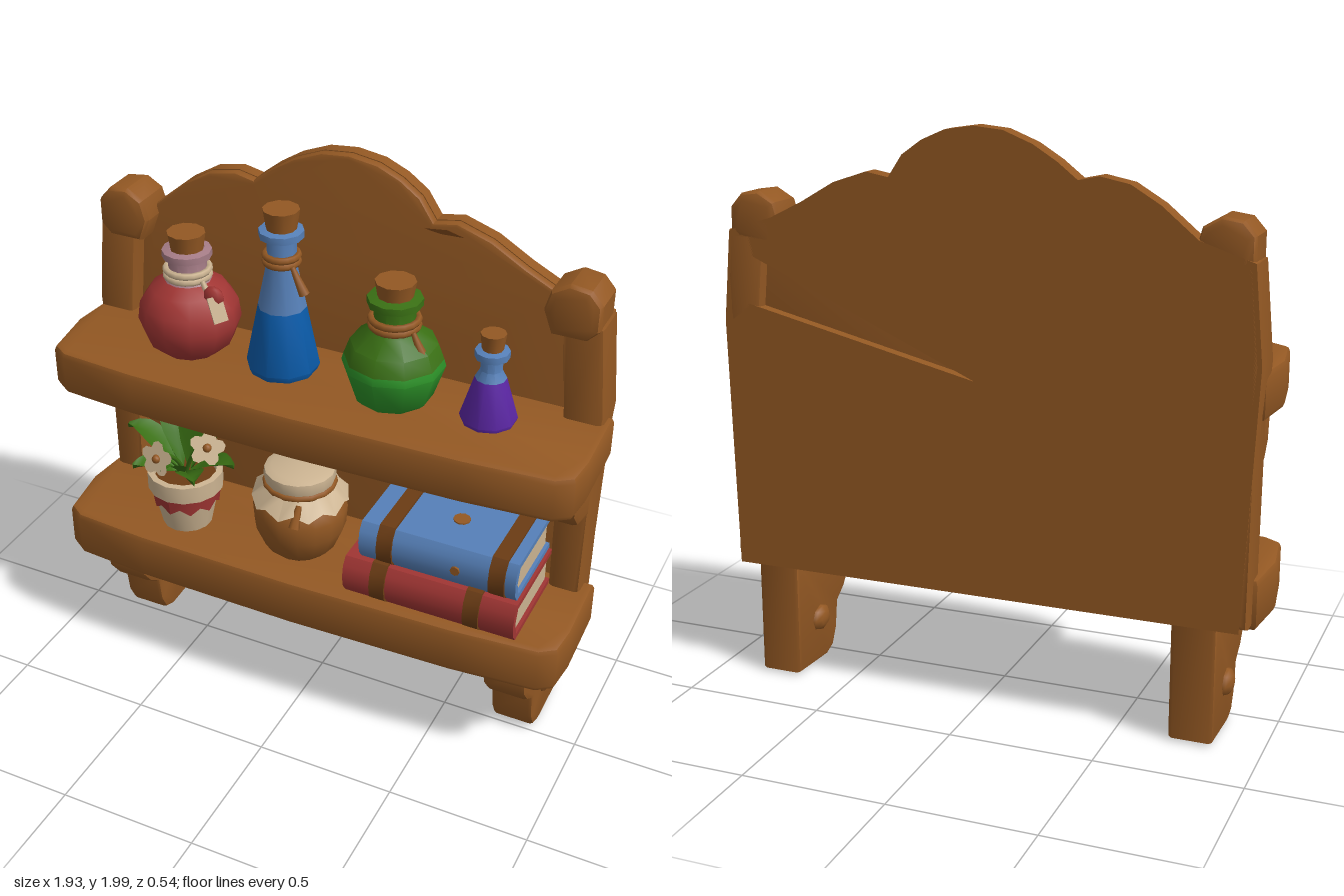
import * as THREE from 'three';
import { toCreasedNormals } from 'three/addons/utils/BufferGeometryUtils.js';

const mat = (name, color) => {
  const m = new THREE.MeshStandardMaterial({ color, side: THREE.DoubleSide });
  m.name = name;
  return m;
};

export function createModel() {
  const wood = mat('wood', 0x935823), strap = mat('dark leather', 0x6b3c14), cream = mat('cream', 0xcbb391);
  const red = mat('red', 0xa03533), blue = mat('deep blue', 0x0b5cab), pale = mat('pale blue', 0x5680b8);
  const green = mat('bright green', 0x2c9128), leafGreen = mat('leaf green', 0x3a7014);
  const purple = mat('purple', 0x5c27a5), mauve = mat('mauve glass', 0xa57c86);
  const root = new THREE.Group();

  const add = (name, geo, m, parent = root, x = 0, y = 0, z = 0) => {
    const mesh = new THREE.Mesh(geo, m);
    mesh.name = name;
    mesh.position.set(x, y, z);
    parent.add(mesh);
    return mesh;
  };
  const group = (name, x, y, z) => {
    const g = new THREE.Group();
    g.name = name;
    g.position.set(x, y, z);
    root.add(g);
    return g;
  };
  const shape = (pts) => new THREE.Shape(pts.map((p) => new THREE.Vector2(...p)));
  // Extrusion from 0 to depth, with the bevel kept inside the outline
  const slab = (s, depth, bevel = 0.02) => {
    const g = new THREE.ExtrudeGeometry(s, {
      depth: depth - 2 * bevel, bevelEnabled: bevel > 0, bevelThickness: bevel,
      bevelSize: bevel, bevelOffset: -bevel, bevelSegments: 2, curveSegments: 8,
    });
    return toCreasedNormals(g.translate(0, 0, bevel), 0.7);
  };
  // Profile in (z, y), extruded across x and centred
  const across = (pts, width, bevel) =>
    slab(shape(pts), width, bevel).rotateY(-Math.PI / 2).translate(width / 2, 0, 0);
  const lathe = (pts, n = 12) =>
    toCreasedNormals(new THREE.LatheGeometry(pts.map((p) => new THREE.Vector2(...p)), n), 0.75);
  // Open band with a zigzag lower edge
  const zigzag = (rTop, rBottom, h, n, depth) => {
    const g = new THREE.CylinderGeometry(rTop, rBottom, h, n, 1, true);
    const p = g.attributes.position;
    for (let i = 0; i <= n; i++) if (i % 2) p.setY(i + n + 1, p.getY(i + n + 1) + depth);
    g.computeVertexNormals();
    return g;
  };
  const ring = (r, t) => new THREE.TorusGeometry(r, t, 6, 16).rotateX(Math.PI / 2);

  // Back panel with a scalloped top, and a wedge-shaped gap in its rear
  const outline = [[-0.91, 0.42], [0.91, 0.42], [0.93, 1.3], [0.9, 1.62], [0.74, 1.67], [0.62, 1.73],
    [0.5, 1.8], [0.38, 1.84], [0.3, 1.825], [0.25, 1.9], [0.18, 1.95], [0.1, 1.985], [0, 2], [-0.1, 1.99],
    [-0.2, 1.95], [-0.28, 1.9], [-0.35, 1.845], [-0.42, 1.86], [-0.52, 1.84], [-0.62, 1.78], [-0.74, 1.68],
    [-0.92, 1.62], [-0.95, 1.3]];
  add('backPanelFront', slab(shape(outline), 0.04, 0.012), wood, root, 0, 0, -0.23);
  const rear = shape(outline);
  rear.holes.push(shape([[0, 1.17], [0.85, 1.55], [0.88, 1.38]]));
  add('backPanelRear', slab(rear, 0.045, 0), wood, root, 0, 0, -0.27);
  add('panelCrack', slab(shape([[0.27, 1.805], [0.33, 1.797], [0.41, 1.8], [0.35, 1.815]]), 0.006, 0),
    strap, root, 0, 0, -0.192);

  // Shelves with worn front corners
  const plank = [[-0.95, -0.2], [0.955, -0.2], [0.965, 0.08], [0.955, 0.19], [0.9, 0.23], [0.6, 0.255],
    [0, 0.27], [-0.6, 0.262], [-0.88, 0.24], [-0.94, 0.2], [-0.97, 0]];
  for (const [name, top, h] of [['upperShelf', 1.272, 0.165], ['lowerShelf', 0.585, 0.18]])
    add(name, slab(shape(plank), h, 0.022).rotateX(Math.PI / 2), wood, root, 0, top, 0);

  // Posts, knobs, brackets, legs and pegs on both sides
  const postPts = [[0.81, 0.43], [0.92, 0.43], [0.925, 1.1], [0.94, 1.3], [0.91, 1.62], [0.77, 1.62], [0.8, 1.3]];
  const knobPts = [[0.74, 1.57], [0.86, 1.57], [0.9, 1.61], [0.9, 1.7], [0.86, 1.745], [0.79, 1.755], [0.73, 1.72], [0.71, 1.65]];
  const bracketPts = [[-0.25, 0.88], [-0.12, 0.9], [-0.03, 0.93], [0.02, 0.99], [0.04, 1.13], [-0.25, 1.13]];
  const legPts = [[-0.27, 0.45], [-0.27, 0.02], [-0.06, 0.01], [-0.01, 0.03], [0.02, 0.09], [0.035, 0.19],
    [0.09, 0.23], [0.135, 0.29], [0.145, 0.36], [0.145, 0.45]];
  for (const s of [-1, 1]) {
    const mirror = (pts) => shape(pts.map(([x, y]) => [s * x - (s < 0 ? 0.015 : 0), y]));
    const side = s > 0 ? 'left' : 'right';
    add(side + 'Post', slab(mirror(postPts), 0.15), wood, root, 0, 0, -0.27);
    add(side + 'PostKnob', slab(mirror(knobPts), 0.17, 0.025), wood, root, 0, 0, -0.27);
    add(side + 'Bracket', across(bracketPts, 0.12, 0.02), wood, root, s * 0.86, 0, 0);
    add(side + 'Leg', across(legPts, 0.155, 0.015), wood, root, s * 0.762, 0, 0);
    for (const e of [-1, 1]) {
      const peg = add(side + 'Peg', new THREE.SphereGeometry(0.06, 8, 6).rotateZ(Math.PI / 2), wood, root, s * 0.762 + e * 0.07, 0.178, -0.11);
      peg.scale.set(0.6, 0.85, 1);
    }
  }

  // Bottles: stacked lathe sections [colour, profile], cord round the neck, cork on top
  const bottle = (name, x, z, sections, neck, cork, cord) => {
    const g = group(name, x, 1.27, z);
    for (const [part, m, pts, n] of sections) add(part, lathe(pts, n), m, g);
    const [r, y0, y1] = cork;
    add('cork', toCreasedNormals(new THREE.CylinderGeometry(r, r * 0.75, y1 - y0, 10), 0.7), wood, g, 0, (y0 + y1) / 2, 0);
    if (neck) {
      for (const dy of [0, 0.022]) add('cord', ring(neck[0], 0.012), cord, g, 0, neck[1] + dy, 0);
      const end = add('cordEnd', new THREE.CylinderGeometry(0.008, 0.018, 0.1, 6), cord, g, neck[0] + 0.025, neck[1] - 0.04, 0.04);
      end.rotation.z = 0.45;
    }
    return g;
  };
  const lip = (r, y, inner) => [[inner, y - 0.02], [r, y - 0.012], [r, y + 0.012], [inner, y + 0.018]];
  const redBottle = bottle('redBottle', -0.505, 0, [
    ['body', red, [[0, 0], [0.1, 0], [0.15, 0.045], [0.177, 0.12], [0.168, 0.185], [0.13, 0.24], [0.08, 0.27]], 12],
    ['neck', mauve, [[0.085, 0.265], [0.065, 0.29], [0.065, 0.35]], 12],
    ['lip', mauve, lip(0.085, 0.365, 0.06), 12]], [0.074, 0.285], [0.066, 0.33, 0.44], cream);
  const tag = add('tag', new THREE.BoxGeometry(0.05, 0.09, 0.01), cream, redBottle, 0.15, 0.215, 0.07);
  tag.rotation.set(-0.5, 0.7, 0.5);
  const seal = add('waxSeal', new THREE.SphereGeometry(0.04, 8, 6), red, redBottle, 0.125, 0.245, 0.05);
  seal.scale.z = 0.6;

  bottle('blueBottle', -0.155, -0.015, [
    ['liquid', blue, [[0, 0], [0.115, 0], [0.126, 0.025], [0.083, 0.24]], 10],
    ['glass', pale, [[0.083, 0.24], [0.05, 0.4], [0.05, 0.49]], 10],
    ['lip', pale, lip(0.076, 0.505, 0.045), 10]], [0.055, 0.405], [0.062, 0.49, 0.59], wood);
  bottle('greenBottle', 0.255, -0.005, [
    ['liquid', green, [[0, 0], [0.115, 0], [0.135, 0.02], [0.172, 0.13], [0.165, 0.155]], 10],
    ['glass', leafGreen, [[0.165, 0.155], [0.145, 0.21], [0.085, 0.255], [0.068, 0.28], [0.07, 0.345]], 10],
    ['lip', leafGreen, lip(0.092, 0.36, 0.06), 10]], [0.078, 0.275], [0.068, 0.33, 0.43], wood);
  bottle('purpleBottle', 0.59, -0.01, [
    ['liquid', purple, [[0, 0], [0.09, 0], [0.095, 0.015], [0.052, 0.16]], 10],
    ['glass', pale, [[0.052, 0.16], [0.036, 0.19], [0.036, 0.24]], 10],
    ['lip', pale, lip(0.057, 0.247, 0.03), 10]], null, [0.042, 0.235, 0.32], wood);

  // Flower pot
  const pot = group('flowerPot', -0.51, 0.585, 0.08);
  add('potBody', lathe([[0, 0], [0.09, 0], [0.122, 0.15], [0.137, 0.155], [0.137, 0.22], [0.115, 0.222], [0.11, 0.19]], 14), cream, pot);
  add('soil', new THREE.CircleGeometry(0.112, 14).rotateX(-Math.PI / 2), strap, pot, 0, 0.195, 0);
  add('potStripe', zigzag(0.128, 0.12, 0.065, 20, 0.025), red, pot, 0, 0.122, 0);

  // Leaves: [angle from front toward +x, reach, rise, width]
  const leaf = (angle, reach, rise, width) => {
    const g = new THREE.PlaneGeometry(1, 1, 2, 6), p = g.attributes.position;
    for (let i = 0; i < p.count; i++) {
      const x = p.getX(i), v = p.getY(i) + 0.5;
      const w = width * (0.08 + 0.95 * Math.sin(Math.PI * Math.pow(v, 0.9)));
      p.setXYZ(i, x * w, rise * Math.sin(v * 1.9) + Math.abs(x) * 0.04, 0.02 + reach * v);
    }
    g.computeVertexNormals();
    add('leaf', g.rotateY(angle), leafGreen, pot, 0, 0.2, 0);
  };
  [[-1.5, 0.2, 0.15, 0.11], [-2.2, 0.16, 0.22, 0.1], [3.1, 0.09, 0.28, 0.12], [1.5, 0.19, 0.09, 0.11],
    [2.3, 0.17, 0.17, 0.1], [-0.8, 0.17, 0.06, 0.11], [0.7, 0.17, 0.07, 0.1], [0, 0.15, 0.1, 0.1]]
    .forEach((l) => leaf(...l));

  // Five-petalled flowers on stems
  for (const [x, y, z, yaw, tilt] of [[-0.02, 0.345, 0.15, -0.1, -0.3], [0.13, 0.38, 0.06, 0.6, -0.5]]) {
    const f = new THREE.Group();
    f.name = 'flower';
    f.position.set(x, y, z);
    f.rotation.set(tilt, yaw, 0);
    pot.add(f);
    for (let i = 0; i < 5; i++) {
      const a = (i / 5) * Math.PI * 2 + Math.PI / 2;
      const petal = add('petal', new THREE.CircleGeometry(0.026, 8), cream, f, Math.cos(a) * 0.036, Math.sin(a) * 0.036, 0.004);
      petal.scale.x = 1.15;
      petal.rotation.z = a;
    }
    add('flowerCentre', new THREE.SphereGeometry(0.016, 8, 6), wood, f, 0, 0, 0.006);
    const stem = new THREE.QuadraticBezierCurve3(new THREE.Vector3(0, 0.19, 0),
      new THREE.Vector3(x * 0.4, y - 0.02, z * 0.3), new THREE.Vector3(x, y, z - 0.005));
    add('stem', new THREE.TubeGeometry(stem, 6, 0.008, 5), leafGreen, pot);
  }

  // Clay jar with a cloth cover tied on
  const jar = group('clayJar', -0.065, 0.585, 0.045);
  add('jarBody', lathe([[0, 0], [0.1, 0], [0.13, 0.03], [0.163, 0.11], [0.168, 0.18], [0.15, 0.235], [0.115, 0.265]], 16), wood, jar);
  add('clothTop', lathe([[0.115, 0.26], [0.12, 0.285], [0.128, 0.31], [0.125, 0.338], [0.1, 0.348], [0, 0.35]], 16), cream, jar);
  add('clothSkirt', zigzag(0.118, 0.172, 0.075, 20, 0.03), cream, jar, 0, 0.248, 0);
  add('jarCord', ring(0.121, 0.012), wood, jar, 0, 0.283, 0);
  const tie = add('jarCordEnd', new THREE.CylinderGeometry(0.01, 0.02, 0.08, 6), wood, jar, 0.06, 0.235, 0.15);
  tie.rotation.x = -0.5;

  // Books lying flat, spine to the front
  const book = (name, m, x, y, length, front, bands) => {
    const g = group(name, x, y, 0), h = 0.147, t = 0.02, b = -0.13, f = front;
    const cover = [[b, 0], [f - 0.03, 0], [f - 0.008, 0.03], [f, h / 2], [f - 0.008, h - 0.03], [f - 0.03, h], [b, h], [b, h - t],
      [f - 0.04, h - t], [f - 0.022, h / 2], [f - 0.04, t], [b, t]];
    add('cover', across(cover, length, 0), m, g);
    add('pages', across([[b + 0.01, t], [f - 0.04, t], [f - 0.022, h / 2], [f - 0.04, h - t], [b + 0.01, h - t]], length - 0.025, 0), cream, g);
    const o = 0.009;
    const loop = [[b, -0.002], [f - 0.03, -0.002], [f, 0.026], [f + o, h / 2], [f, h - 0.026], [f - 0.026, h + o], [b, h + o],
      [b, h], [f - 0.03, h], [f - 0.008, h - 0.03], [f, h / 2], [f - 0.008, 0.03], [f - 0.03, 0], [b, 0]];
    for (const bx of bands) add('strap', across(loop, 0.055, 0), strap, g, bx - x, 0, 0);
    return g;
  };
  book('redBook', red, 0.5, 0.587, 0.62, 0.24, [0.32, 0.66]);
  const top = book('blueBook', pale, 0.52, 0.737, 0.56, 0.22, [0.335, 0.735]);
  add('coverStud', new THREE.CylinderGeometry(0.03, 0.03, 0.006, 10), wood, top, 0.02, 0.149, 0.04);
  add('spineStud', new THREE.CylinderGeometry(0.017, 0.017, 0.008, 8).rotateX(Math.PI / 2), wood, top, 0.07, 0.0735, 0.221);
  return root;
}
